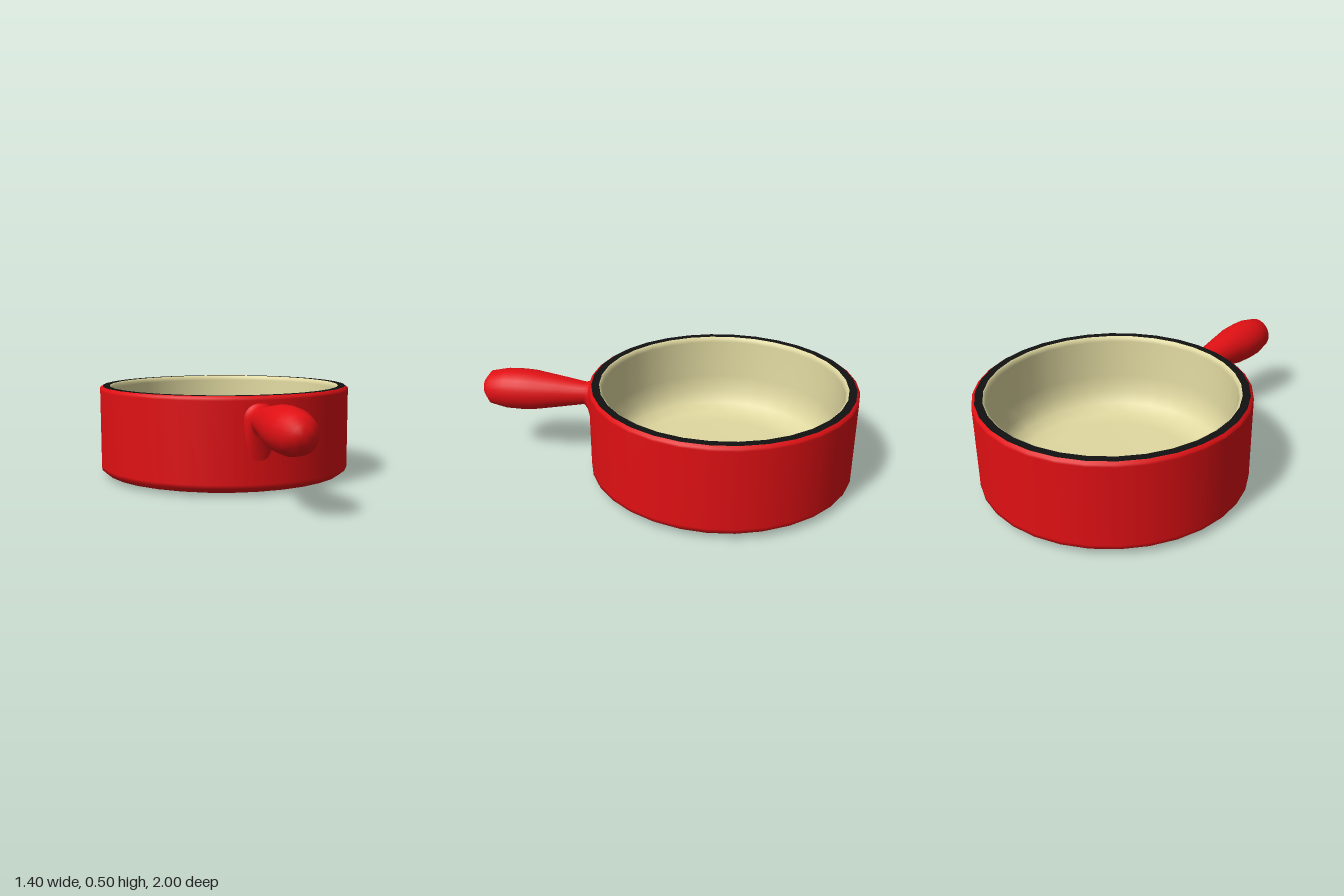
import * as THREE from 'three';
import { mergeVertices } from 'three/addons/utils/BufferGeometryUtils.js';

const POT_Z = -0.3;
const HANDLE_Y = 0.388;
const toPoints = (list) => list.map(([r, h]) => new THREE.Vector2(r, h));

function addPart(group, name, geometry, color) {
  const mesh = new THREE.Mesh(geometry, new THREE.MeshStandardMaterial({ color }));
  mesh.name = name;
  group.add(mesh);
  return mesh;
}

// Handle turned around z; its root is stretched downwards into a bracket on the pot wall
function handleGeometry() {
  const profile = toPoints([
    [0.1, 0.37], [0.085, 0.39], [0.073, 0.405], [0.064, 0.42], [0.061, 0.44],
    [0.085, 0.58], [0.108, 0.72], [0.111, 0.79], [0.109, 0.87],
    [0.09, 0.96], [0.045, 0.995], [0, 1],
  ]);
  const drops = [3.5, 2.95, 2.5, 1.55];
  const geometry = new THREE.LatheGeometry(profile, 24).rotateX(Math.PI / 2);
  const pos = geometry.attributes.position;
  for (let i = 0; i < pos.count; i++) {
    const dy = pos.getY(i);
    const drop = drops[i % profile.length] ?? 1;
    pos.setY(i, HANDLE_Y + (dy < 0 ? dy * drop : dy));
  }
  geometry.deleteAttribute('normal');
  geometry.deleteAttribute('uv');
  const merged = mergeVertices(geometry);
  merged.computeVertexNormals();
  return merged;
}

export function createModel() {
  const model = new THREE.Group();
  model.name = 'handledDish';
  const red = 0xe01014, black = 0x111111, cream = 0xe0d8a0;

  // Turned layers of the dish: outer shell, bare rim, glazed inside
  const layers = [
    ['outerShell', red, [[0, 0], [0.55, 0], [0.597, 0.001], [0.67, 0.018], [0.7, 0.042],
      [0.7, 0.06], [0.7, 0.48], [0.699, 0.492], [0.685, 0.502]]],
    ['rim', black, [[0.685, 0.502], [0.645, 0.502]]],
    ['innerGlaze', cream, [[0.645, 0.502], [0.634, 0.495], [0.628, 0.475], [0.625, 0.26],
      [0.61, 0.17], [0.575, 0.105], [0.51, 0.068], [0.42, 0.055], [0, 0.05]]],
  ];
  for (const [name, color, profile] of layers) {
    const geometry = new THREE.LatheGeometry(toPoints(profile), 32);
    addPart(model, name, geometry, color).position.z = POT_Z;
  }

  addPart(model, 'handle', handleGeometry(), red);
  return model;
}
